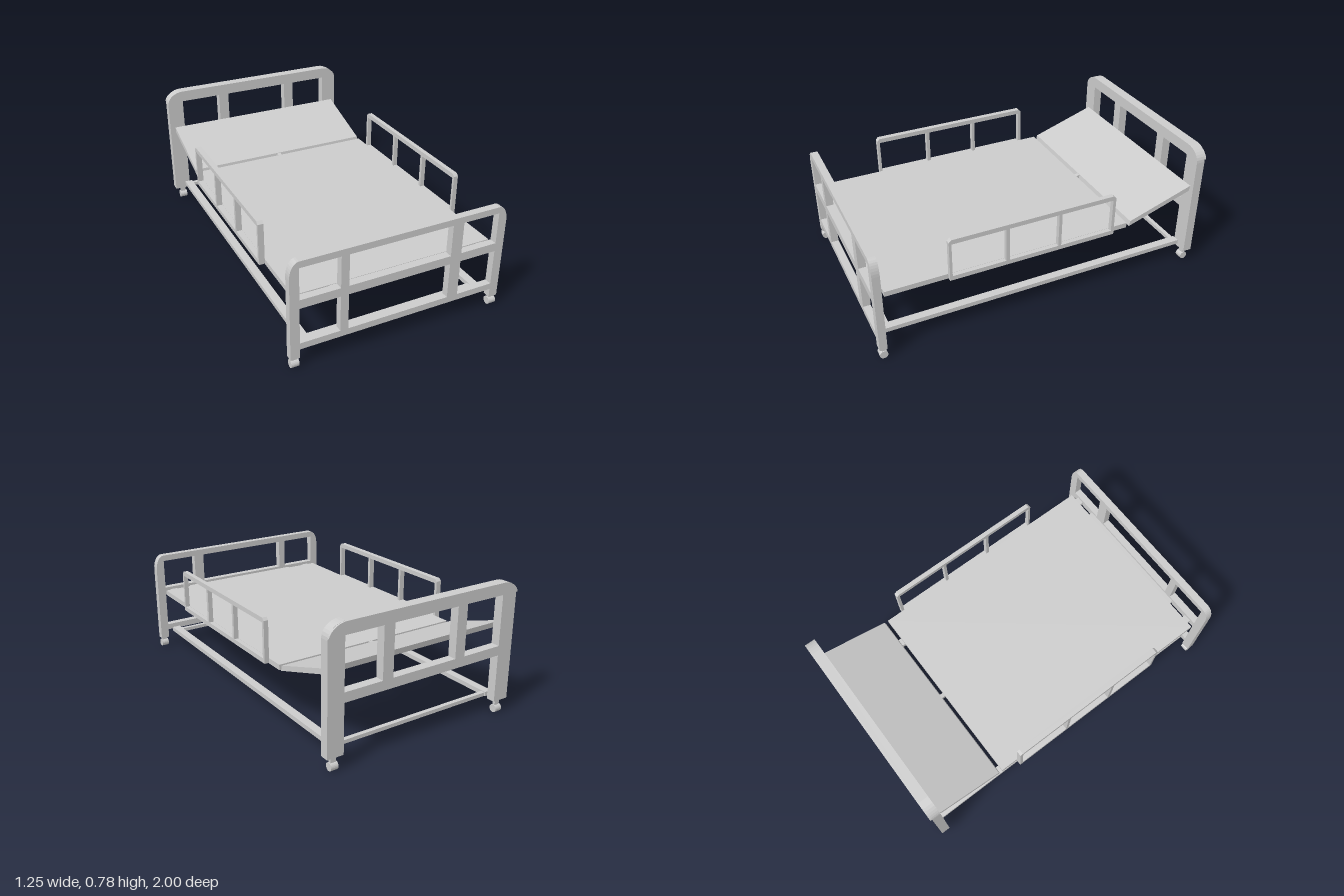
import * as THREE from 'three';

export function createModel() {
  const bed = new THREE.Group();
  bed.name = 'adjustableBed';
  const mat = new THREE.MeshStandardMaterial({ color: 0xcccccc, flatShading: true });

  const add = (name, geometry, parent = bed) => {
    const mesh = new THREE.Mesh(geometry, mat);
    mesh.name = name;
    parent.add(mesh);
    return mesh;
  };
  // Box given by its limits on each axis
  const box = (name, x0, x1, y0, y1, z0, z1, parent) => {
    const g = new THREE.BoxGeometry(x1 - x0, y1 - y0, z1 - z0);
    g.translate((x0 + x1) / 2, (y0 + y1) / 2, (z0 + z1) / 2);
    return add(name, g, parent);
  };
  const rectHole = (x0, x1, y0, y1) => new THREE.Path([
    new THREE.Vector2(x0, y0), new THREE.Vector2(x0, y1),
    new THREE.Vector2(x1, y1), new THREE.Vector2(x1, y0),
  ]);
  // Panel with legs, rounded shoulders and window openings, extruded along z
  const endPanel = (name, o) => {
    const s = new THREE.Shape();
    const k = 0.45;
    s.moveTo(o.x0, o.foot);
    s.lineTo(o.x0 + o.leg, o.foot);
    s.lineTo(o.x0 + o.leg, o.railBottom);
    s.lineTo(o.x1 - o.leg, o.railBottom);
    s.lineTo(o.x1 - o.leg, o.foot);
    s.lineTo(o.x1, o.foot);
    s.lineTo(o.x1, o.top - o.ry);
    s.bezierCurveTo(o.x1, o.top - o.ry * k, o.x1 - o.rx * k, o.top, o.x1 - o.rx, o.top);
    s.lineTo(o.x0 + o.rx, o.top);
    s.bezierCurveTo(o.x0 + o.rx * k, o.top, o.x0, o.top - o.ry * k, o.x0, o.top - o.ry);
    s.closePath();
    for (const [y0, y1] of o.rows)
      for (const [x0, x1] of o.columns) s.holes.push(rectHole(x0, x1, y0, y1));
    const g = new THREE.ExtrudeGeometry(s, { depth: o.z1 - o.z0, bevelEnabled: false, curveSegments: 8 });
    g.translate(0, 0, o.z0);
    return add(name, g);
  };

  // Footboard: two rows of three openings
  endPanel('footboard', {
    x0: -0.615, x1: 0.637, leg: 0.052, foot: 0.06, railBottom: 0.113,
    top: 0.63, rx: 0.052, ry: 0.09, z0: 0.957, z1: 1,
    rows: [[0.15, 0.36], [0.41, 0.593]],
    columns: [[-0.563, -0.34], [-0.295, 0.3], [0.365, 0.585]],
  });

  // Headboard: one row of openings above a middle rail, open below
  endPanel('headboard', {
    x0: -0.6, x1: 0.617, leg: 0.098, foot: 0.08, railBottom: 0.36,
    top: 0.777, rx: 0.1, ry: 0.08, z0: -0.99, z1: -0.937,
    rows: [[0.415, 0.71]],
    columns: [[-0.502, -0.25], [-0.185, 0.225], [0.29, 0.519]],
  });
  // Thicker cap along the back of the headboard's top rail
  const cap = new THREE.Shape();
  cap.moveTo(-0.6, 0.71);
  cap.lineTo(0.617, 0.71);
  cap.bezierCurveTo(0.61, 0.745, 0.562, 0.777, 0.517, 0.777);
  cap.lineTo(-0.5, 0.777);
  cap.bezierCurveTo(-0.545, 0.777, -0.593, 0.745, -0.6, 0.71);
  const capGeo = new THREE.ExtrudeGeometry(cap, { depth: 0.01, bevelEnabled: false, curveSegments: 8 });
  capGeo.translate(0, 0, -1);
  add('headboardCap', capGeo);

  // Base frame
  for (const [x0, x1] of [[-0.532, -0.485], [0.505, 0.553]])
    box('baseSideRail', x0, x1, 0.097, 0.123, -0.937, 0.957);
  for (const z of [-0.93, 0.905])
    box('baseCrossBar', -0.485, 0.505, 0.097, 0.118, z, z + 0.025);

  // Flat deck with a tab and two arms reaching the footboard
  box('deck', -0.567, 0.59, 0.367, 0.397, -0.512, 0.934);
  box('deckTab', -0.37, 0.412, 0.367, 0.395, 0.934, 0.957);
  for (const [x0, x1] of [[-0.532, -0.485], [0.505, 0.553]])
    box('deckArm', x0, x1, 0.369, 0.393, 0.934, 0.957);

  // Raised backrest and its hinge, from a side profile
  const sideProfile = (name, points, x0, x1) => {
    const s = new THREE.Shape(points.map(([z, y]) => new THREE.Vector2(-z, y)));
    const g = new THREE.ExtrudeGeometry(s, { depth: x1 - x0, bevelEnabled: false });
    g.rotateY(Math.PI / 2);
    g.translate(x0, 0, 0);
    add(name, g);
  };
  sideProfile('backrest', [[-0.53, 0.37], [-0.93, 0.502], [-0.937, 0.535], [-0.537, 0.402]], -0.567, 0.59);
  sideProfile('hinge', [[-0.505, 0.368], [-0.535, 0.373], [-0.54, 0.4], [-0.505, 0.395]], -0.01, 0.014);

  // Side guards with clipped top corners and three openings
  for (const [name, x0, x1] of [['rightGuard', -0.6, -0.567], ['leftGuard', 0.59, 0.617]]) {
    const c = 0.015;
    const s = new THREE.Shape([
      [-0.585, 0.37], [0.408, 0.37], [0.408, 0.625 - c], [0.408 - c, 0.625],
      [-0.585 + c, 0.625], [-0.585, 0.625 - c],
    ].map(([u, v]) => new THREE.Vector2(u, v)));
    for (const [u0, u1] of [[-0.57, -0.262], [-0.242, 0.053], [0.071, 0.39]])
      s.holes.push(rectHole(u0, u1, 0.396, 0.598));
    const g = new THREE.ExtrudeGeometry(s, { depth: x1 - x0, bevelEnabled: false });
    g.rotateY(Math.PI / 2);
    g.translate(x0, 0, 0);
    add(name, g);
  }

  // Casters: a stem, a small fork block and a wheel under each leg
  const caster = (x, z, legBottom) => {
    const group = new THREE.Group();
    group.name = 'caster';
    const wheel = new THREE.CylinderGeometry(0.023, 0.023, 0.044, 20);
    wheel.rotateZ(Math.PI / 2);
    wheel.translate(x, 0.023, z);
    add('casterWheel', wheel, group);
    box('casterStem', x - 0.016, x + 0.016, 0.035, legBottom, z - 0.008, z + 0.008, group);
    bed.add(group);
  };
  for (const x of [-0.588, 0.612]) caster(x, 0.978, 0.062);
  for (const x of [-0.547, 0.568]) caster(x, -0.964, 0.082);

  return bed;
}
